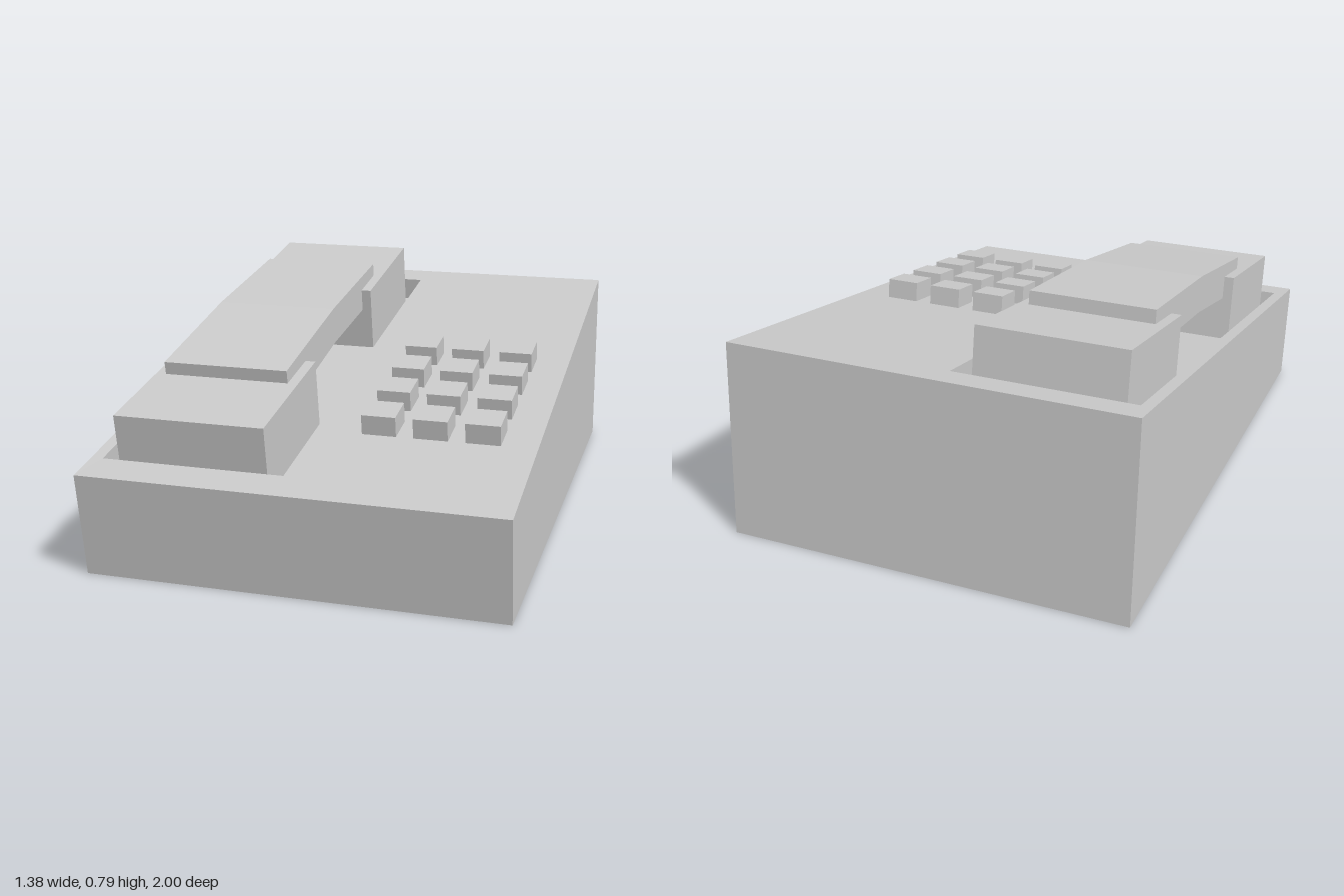
import * as THREE from 'three';

const material = new THREE.MeshStandardMaterial({ color: 0xcccccc, flatShading: true });

// Sloped top surface: height at z = 0 and tilt angle
const TOP_Y = 0.514;
const TILT = Math.atan2(0.32, 1.95);

function addMesh(parent, name, geometry) {
  const mesh = new THREE.Mesh(geometry, material);
  mesh.name = name;
  parent.add(mesh);
  return mesh;
}

// Box given by its limits on each axis
function boxBetween(x0, x1, y0, y1, z0, z1) {
  return new THREE.BoxGeometry(x1 - x0, y1 - y0, z1 - z0)
    .translate((x0 + x1) / 2, (y0 + y1) / 2, (z0 + z1) / 2);
}

// Point on or below the sloped surface, in the tilted frame
function onSlope(x, v, u) {
  return new THREE.Vector3(x, v, u)
    .applyAxisAngle(new THREE.Vector3(1, 0, 0), TILT)
    .add(new THREE.Vector3(0, TOP_Y, 0));
}

// Four corners, counter-clockwise from above, starting front left
function ring(x0, x1, back, front, place) {
  return [place(x0, front), place(x1, front), place(x1, back), place(x0, back)];
}

// Wedge body with a sunken cradle, skinned over four rings of corners
function bodyGeometry() {
  const rings = [
    ring(-0.69, 0.69, -1, 0.95, (x, z) => new THREE.Vector3(x, 0, z)),
    ring(-0.69, 0.69, -0.95, 1, (x, z) => new THREE.Vector3(x, z > 0 ? 0.35 : 0.67, z)),
    ring(-0.65, -0.04, -0.851, 0.891, (x, u) => onSlope(x, 0, u)),
    ring(-0.65, -0.04, -0.851, 0.891, (x, u) => onSlope(x, -0.085, u)),
  ];
  const points = [];
  const quad = (a, b, c, d) => points.push(a, b, c, a, c, d);
  for (let r = 0; r < 3; r++) {
    for (let i = 0; i < 4; i++) {
      const j = (i + 1) % 4;
      quad(rings[r][i], rings[r][j], rings[r + 1][j], rings[r + 1][i]);
    }
  }
  quad(...rings[3]);
  quad(...[...rings[0]].reverse());
  const geometry = new THREE.BufferGeometry().setFromPoints(points);
  geometry.computeVertexNormals();
  return geometry;
}

// Bent grip, a side profile in (z, y) extruded across x
function gripGeometry() {
  const profile = [
    [0.575, 0.615], [0.07, 0.715], [-0.445, 0.785],
    [-0.465, 0.655], [0.05, 0.588], [0.55, 0.485],
  ].map(([z, y]) => new THREE.Vector2(z, y));
  return new THREE.ExtrudeGeometry(new THREE.Shape(profile), { depth: 0.43, bevelEnabled: false })
    .rotateY(-Math.PI / 2)
    .translate(-0.135, 0, 0);
}

export function createModel() {
  const model = new THREE.Group();
  model.name = 'deskTelephone';
  addMesh(model, 'body', bodyGeometry());

  // Handset: two end blocks resting in the cradle, joined by the grip
  const handset = new THREE.Group();
  handset.name = 'handset';
  model.add(handset);
  const ends = new THREE.Group();
  ends.name = 'handsetEnds';
  ends.position.y = TOP_Y;
  ends.rotation.x = TILT;
  handset.add(ends);
  addMesh(ends, 'mouthpiece', boxBetween(-0.6, -0.1, -0.085, 0.149, 0.366, 0.877));
  addMesh(ends, 'earpiece', boxBetween(-0.6, -0.1, -0.085, 0.149, -0.82, -0.313));
  addMesh(handset, 'grip', gripGeometry());

  // Keypad of three columns and four rows
  const keypad = new THREE.Group();
  keypad.name = 'keypad';
  keypad.position.y = TOP_Y;
  keypad.rotation.x = TILT;
  model.add(keypad);
  const key = new THREE.BoxGeometry(0.114, 0.077, 0.114);
  for (let row = 0; row < 4; row++) {
    for (let column = 0; column < 3; column++) {
      addMesh(keypad, 'key', key)
        .position.set(0.173 + column * 0.171, 0.0295, 0.517 - row * 0.192);
    }
  }
  return model;
}
